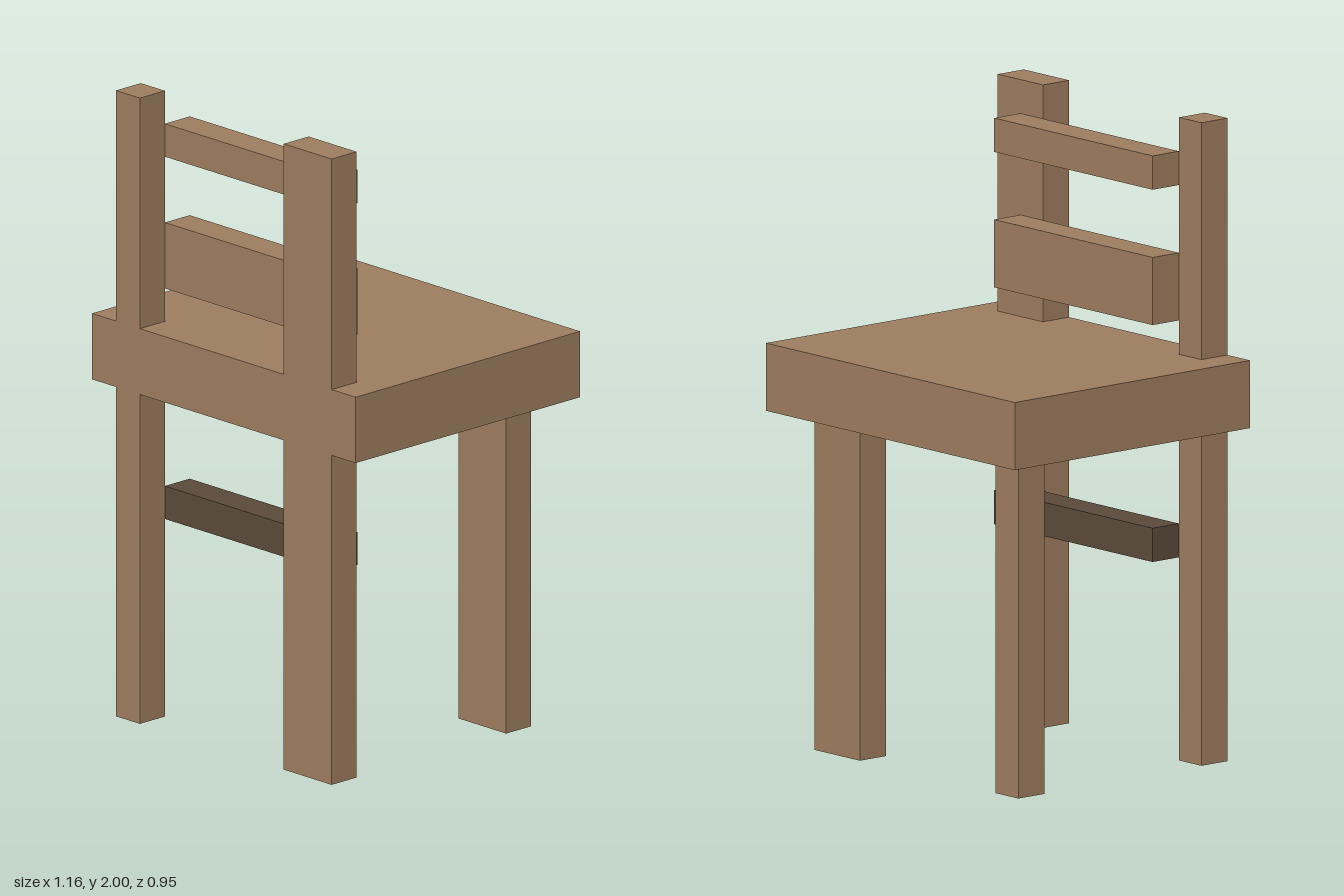
import * as THREE from 'three';

// All sizes are counted in whole units of this grid step (chair is 19 steps tall)
const U = 2 / 19;

export function createModel() {
  const wood = new THREE.MeshStandardMaterial({ color: 0x9c7c5e });
  wood.name = 'wood';
  const darkWood = new THREE.MeshStandardMaterial({ color: 0x5a4939 });
  darkWood.name = 'dark wood';

  const chair = new THREE.Group();
  chair.name = 'chair';

  // Box spanning two opposite corners, given in grid steps
  function block(name, [x0, y0, z0], [x1, y1, z1], material = wood) {
    const geometry = new THREE.BoxGeometry((x1 - x0) * U, (y1 - y0) * U, (z1 - z0) * U);
    const mesh = new THREE.Mesh(geometry, material);
    mesh.name = name;
    mesh.position.set(x0 + x1, y0 + y1, z0 + z1).multiplyScalar(U / 2);
    chair.add(mesh);
  }

  block('seat', [-5.5, 10, -4.5], [5.5, 12, 4.5]);

  // The left supports are twice as wide as the right ones
  const sides = [['left', 2.5, 4.5], ['right', -4.5, -3.5]];
  for (const [side, x0, x1] of sides) {
    block(`${side}BackrestLeg`, [x0, 0, 3.5], [x1, 10, 4.5]);
    block(`${side}OuterLeg`, [x0, 0, -3.5], [x1, 10, -2.5]);
    block(`${side}BackrestPost`, [x0, 12, 3.5], [x1, 19, 4.5]);
  }

  // Crossbars set just inside the posts
  block('topSlat', [-3.5, 17, 2.5], [3.5, 18, 3.5]);
  block('middleSlat', [-3.5, 13, 2.5], [3.5, 15, 3.5]);
  block('stretcher', [-3.5, 6, 2.5], [3.5, 7, 3.5], darkWood);

  return chair;
}
